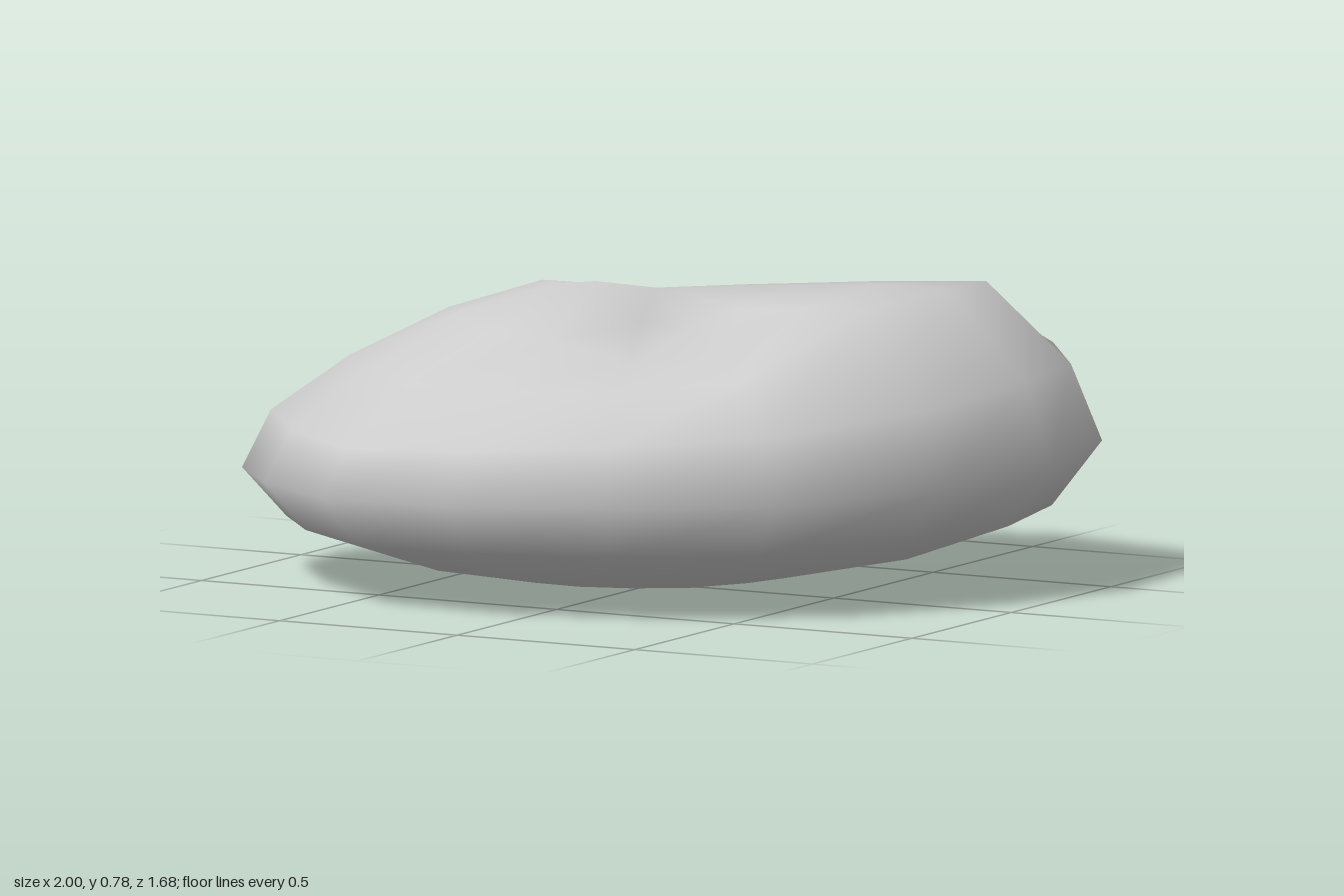
import * as THREE from 'three';

// Each row is one direction round the stone: x, z and height of the belt,
// then heights of the upper rings from the belt inwards.
const SECTIONS = [
  [0.39, -0.84, 0.39, 0.52, 0.61, 0.68, 0.72],
  [0.81, -0.70, 0.38, 0.57, 0.70, 0.735, 0.73],
  [0.97, -0.51, 0.36, 0.55, 0.755, 0.745, 0.73],
  [1.00, -0.21, 0.33, 0.54, 0.765, 0.745, 0.73],
  [0.87, 0.12, 0.31, 0.50, 0.735, 0.72, 0.71],
  [0.61, 0.51, 0.295, 0.46, 0.58, 0.615, 0.66],
  [0.26, 0.73, 0.295, 0.44, 0.55, 0.61, 0.68],
  [-0.12, 0.84, 0.29, 0.42, 0.55, 0.65, 0.78],
  [-0.49, 0.81, 0.28, 0.40, 0.55, 0.66, 0.765],
  [-0.78, 0.58, 0.27, 0.40, 0.55, 0.685, 0.76],
  [-0.97, 0.35, 0.265, 0.41, 0.55, 0.675, 0.74],
  [-1.00, 0.10, 0.27, 0.41, 0.55, 0.665, 0.73],
  [-0.86, -0.12, 0.275, 0.42, 0.55, 0.655, 0.72],
  [-0.71, -0.45, 0.225, 0.42, 0.54, 0.625, 0.70],
  [-0.36, -0.64, 0.235, 0.44, 0.55, 0.63, 0.69],
  [0.00, -0.77, 0.335, 0.47, 0.575, 0.65, 0.70],
];
const UNDERSIDE = [[0.34, 0.07], [0.64, 0.26], [0.89, 0.55]]; // scale, share of belt height
const UPPER = [0.93, 0.74, 0.5, 0.29]; // scales of the upper rings
const LOW = [-0.05, -0.04]; // x, z of the lowest point

function stoneGeometry() {
  const n = SECTIONS.length;
  const positions = [];
  const index = [];
  const add = (x, y, z) => positions.push(x, y, z) / 3 - 1;

  // Rounded underside, drawn in towards the lowest point
  const bottom = add(LOW[0], 0, LOW[1]);
  for (const [s, share] of UNDERSIDE) {
    for (const [x, z, belt] of SECTIONS) {
      add(x * s + LOW[0] * (1 - s), belt * share, z * s + LOW[1] * (1 - s));
    }
  }
  // Widest belt
  for (const [x, z, belt] of SECTIONS) add(x, belt, z);
  // Uneven top: front peak, right-hand ridge and the hollow between them
  UPPER.forEach((s, k) => {
    for (const row of SECTIONS) add(row[0] * s, row[3 + k], row[1] * s);
  });
  const top = add(0, 0.735, 0);

  const rings = UNDERSIDE.length + 1 + UPPER.length;
  const at = (r, i) => 1 + r * n + (i % n);
  for (let i = 0; i < n; i++) {
    index.push(bottom, at(0, i), at(0, i + 1));
    for (let r = 0; r < rings - 1; r++) {
      const a = at(r, i), b = at(r, i + 1), c = at(r + 1, i), d = at(r + 1, i + 1);
      index.push(a, c, b, b, c, d);
    }
    index.push(at(rings - 1, i), top, at(rings - 1, i + 1));
  }

  const geometry = new THREE.BufferGeometry();
  geometry.setAttribute('position', new THREE.Float32BufferAttribute(positions, 3));
  geometry.setIndex(index);
  geometry.computeVertexNormals();
  return geometry;
}

export function createModel() {
  const group = new THREE.Group();
  group.name = 'rock';
  const stone = new THREE.Mesh(stoneGeometry(), new THREE.MeshStandardMaterial({ color: 0xcccccc }));
  stone.name = 'stone';
  group.add(stone);
  return group;
}
